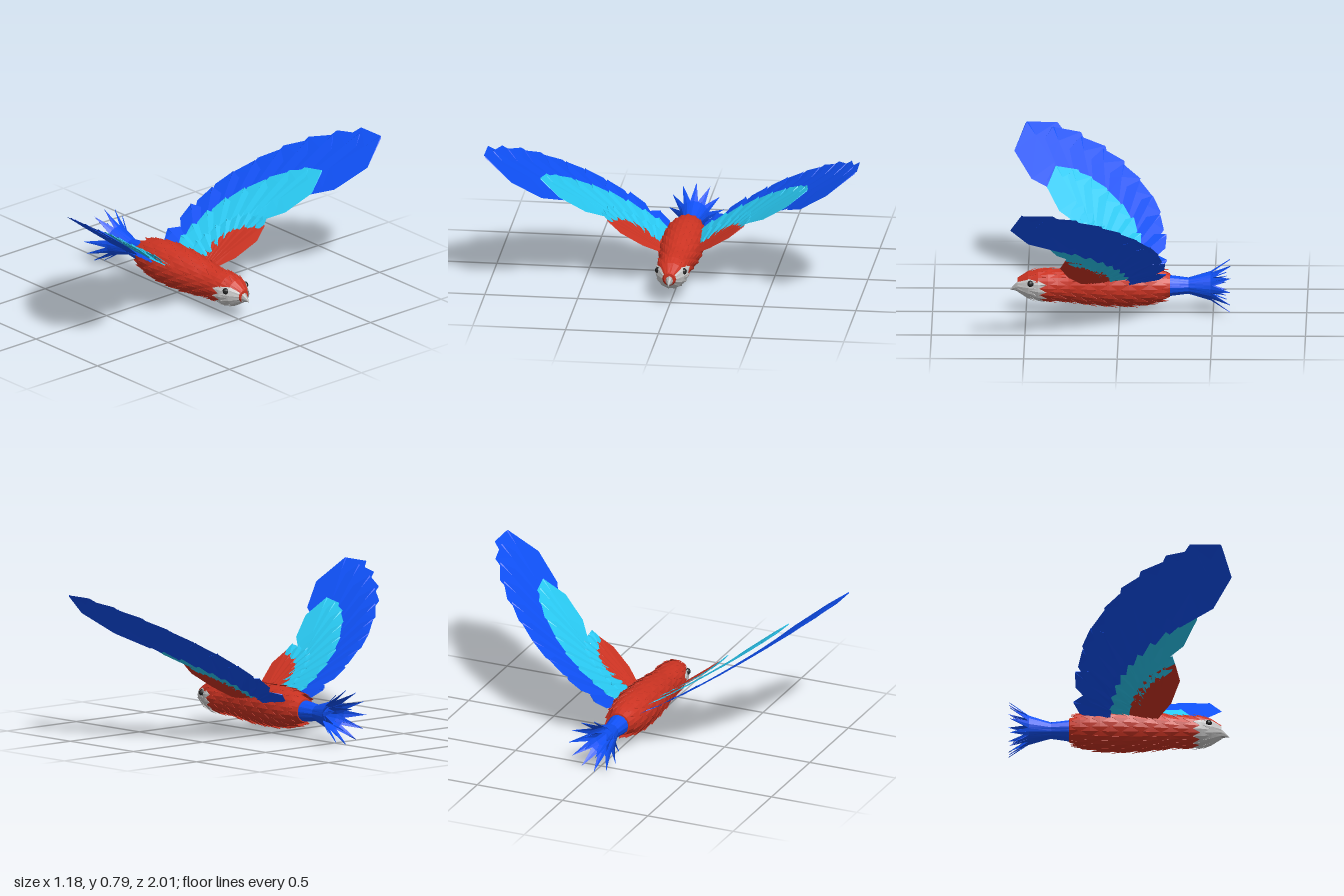
import * as THREE from 'three';
import { mergeGeometries } from 'three/addons/utils/BufferGeometryUtils.js';

const mat = (color) => new THREE.MeshStandardMaterial({ color, flatShading: true, side: THREE.DoubleSide });
const RED = mat(0xcc3322), BLUE = mat(0x0f50f5), CYAN = mat(0x29c9f2);
const GREY = mat(0xcccccc), BEAK = mat(0xaaaaaa), BLACK = mat(0x222222);
const MID = 0.15; // height of the body axis
const lerp = THREE.MathUtils.lerp;

// Feather outlines: [position along the quill, relative half width]
const VANE = [[0, 0.35], [0.4, 1], [0.8, 0.95], [1, 0.06]];
const SCALE = [[0, 0.9], [0.55, 1], [1, 0.03]];
const STREAMER = [[0, 0.8], [0.4, 0.9], [0.72, 1], [1, 0.02]];

// One feather: place(t, s) maps quill position and side offset to space
function feather(outline, place) {
  const pos = [], index = [];
  outline.forEach(([t, w], i) => {
    for (const s of [-1, 0, 1]) pos.push(...place(t, s * w, s));
    if (i === 0) return;
    for (let k = 0; k < 2; k++) {
      const a = (i - 1) * 3 + k, b = a + 3;
      index.push(a, b, a + 1, a + 1, b, b + 1);
    }
  });
  const g = new THREE.BufferGeometry();
  g.setAttribute('position', new THREE.Float32BufferAttribute(pos, 3));
  g.setIndex(index);
  g.computeVertexNormals();
  return g;
}

function add(group, name, geometry, material) {
  const mesh = new THREE.Mesh(Array.isArray(geometry) ? mergeGeometries(geometry) : geometry, material);
  mesh.name = name;
  group.add(mesh);
  return mesh;
}

// Body profile: [x, radius]
const PROFILE = [[-0.27, 0.068], [-0.18, 0.092], [-0.08, 0.106], [0.08, 0.104], [0.2, 0.092],
  [0.3, 0.078], [0.38, 0.08], [0.44, 0.077], [0.5, 0.06], [0.545, 0.034]];

function bodyRadius(x) {
  for (let i = 1; i < PROFILE.length; i++) {
    const [x0, r0] = PROFILE[i - 1], [x1, r1] = PROFILE[i];
    if (x <= x1) return lerp(r0, r1, Math.max(0, (x - x0) / (x1 - x0)));
  }
  return PROFILE[PROFILE.length - 1][1];
}

// Row of feathers between a root curve and a tip curve, given in plan as [x, z]
function wingRow(side, { roots, tips, count, width, lift, drop }) {
  const curve = (pts) => new THREE.SplineCurve(pts.map((p) => new THREE.Vector2(...p)));
  const rootCurve = curve(roots), tipCurve = curve(tips), row = [];
  for (let i = 0; i < count; i++) {
    const u = i / (count - 1);
    const root = rootCurve.getPoint(u), tip = tipCurve.getPoint(u);
    const dir = tip.clone().sub(root).normalize();
    const half = lerp(width[0], width[1], u);
    row.push(feather(VANE, (t, s, edge) => {
      const x = lerp(root.x, tip.x, t) + dir.y * s * half;
      const z = lerp(root.y, tip.y, t) - dir.x * s * half;
      const ridge = edge === 0 ? 0.006 : 0;
      const y = 0.15 + 0.635 * z + lift - drop * (1 - t) + ridge - 0.08 * s * half;
      return [x, y, side * z];
    }));
  }
  return row;
}

const FLIGHT = {
  tips: [[-0.25, 0.15], [-0.245, 0.31], [-0.21, 0.43], [-0.17, 0.545], [-0.1, 0.64],
    [-0.01, 0.74], [0.1, 0.835], [0.22, 0.91], [0.37, 0.97], [0.51, 1]],
  roots: [[-0.05, 0.13], [-0.03, 0.28], [0.07, 0.45], [0.26, 0.63]],
  count: 10, width: [0.055, 0.145], lift: 0, drop: 0.045,
};
const COVERT = {
  tips: [[-0.13, 0.14], [-0.12, 0.27], [-0.06, 0.42], [0.05, 0.55], [0.2, 0.67], [0.35, 0.72]],
  roots: [[0.05, 0.12], [0.07, 0.2], [0.12, 0.3], [0.17, 0.4]],
  count: 9, width: [0.045, 0.1], lift: 0.008, drop: 0.035,
};
const SMALL_COVERT = {
  tips: [[-0.02, 0.15], [0.02, 0.28], [0.12, 0.38], [0.27, 0.4]],
  roots: [[0.1, 0.12], [0.12, 0.2], [0.16, 0.27], [0.22, 0.32]],
  count: 8, width: [0.03, 0.032], lift: 0.003, drop: 0.025,
};
const SHOULDER = {
  tips: [[0.04, 0.14], [0.07, 0.23], [0.15, 0.32], [0.285, 0.37]],
  roots: [[0.1, 0.09], [0.12, 0.09], [0.15, 0.09], [0.17, 0.09]],
  count: 8, width: [0.035, 0.06], lift: -0.012, drop: 0.02,
};

export function createModel() {
  const bird = new THREE.Group();
  bird.name = 'bird';

  // Solid body under the feathers
  const hull = [[-0.275, 0], ...PROFILE, [0.547, 0]].map(([x, r]) => new THREE.Vector2(Math.max(0, r - 0.004), x));
  const body = new THREE.LatheGeometry(hull, 16).rotateZ(-Math.PI / 2).translate(0, MID, 0);
  add(bird, 'body', body, RED);

  // Overlapping rings of body feathers, with a pale face low on the head
  const red = [], pale = [], around = 14, rings = 14;
  for (let i = 0; i < rings; i++) {
    const front = lerp(-0.16, 0.545, i / (rings - 1));
    const length = 0.1;
    for (let k = 0; k < around; k++) {
      const angle = ((k + (i % 2) / 2) / around) * Math.PI * 2;
      const geometry = feather(SCALE, (t, s, edge) => {
        const x = front - t * length;
        const r = bodyRadius(x) + 0.002 + 0.012 * t + (edge === 0 ? 0.002 : 0);
        const a = angle + s * 0.27;
        return [x, MID + r * Math.cos(a), r * Math.sin(a)];
      });
      const isFace = front > 0.45 && Math.cos(angle) < 0.5;
      (isFace ? pale : red).push(geometry);
    }
  }
  add(bird, 'bodyFeathers', red, RED);
  add(bird, 'faceFeathers', pale, GREY);

  // Hooked beak: a cone bent downwards
  const beak = new THREE.ConeGeometry(0.034, 0.07, 8, 4).rotateZ(-Math.PI / 2);
  const p = beak.attributes.position;
  for (let i = 0; i < p.count; i++) {
    const t = (p.getX(i) + 0.035) / 0.07;
    const swell = 1 + 0.9 * t * (1 - t);
    p.setXYZ(i, 0.523 + 0.065 * t, 0.143 + p.getY(i) * swell - 0.021 * t * t, p.getZ(i) * swell * 0.8);
  }
  beak.computeVertexNormals();
  add(bird, 'beak', beak, BEAK);

  // Tail: streamers that pinch in, then flare out
  const tail = [];
  for (const [count, flare, reach] of [[12, 1, 0.37], [6, 0.5, 0.35]]) {
    for (let k = 0; k < count; k++) {
      const a = (k / count) * Math.PI * 2;
      tail.push(feather(STREAMER, (t, s, edge) => {
        const r = (0.06 - 0.14 * t + 0.224 * t * t) * flare + (edge === 0 ? 0.004 : 0);
        const w = s * 0.022;
        return [-0.22 - reach * t, 0.148 + r * Math.cos(a) - w * Math.sin(a), r * Math.sin(a) + w * Math.cos(a)];
      }));
    }
  }
  add(bird, 'tailFeathers', tail, BLUE);

  // Eyes and wings on both sides
  for (const side of [1, -1]) {
    const label = side > 0 ? 'front' : 'back';
    const eye = add(bird, label + 'Eye', new THREE.SphereGeometry(0.018, 10, 8), BLACK);
    eye.position.set(0.475, 0.172, side * 0.068);

    const wing = new THREE.Group();
    wing.name = label + 'Wing';
    add(wing, 'flightFeathers', wingRow(side, FLIGHT), BLUE);
    add(wing, 'coverts', wingRow(side, COVERT), CYAN);
    add(wing, 'smallCoverts', wingRow(side, SMALL_COVERT), CYAN);
    add(wing, 'shoulderFeathers', wingRow(side, SHOULDER), RED);
    bird.add(wing);
  }
  return bird;
}
